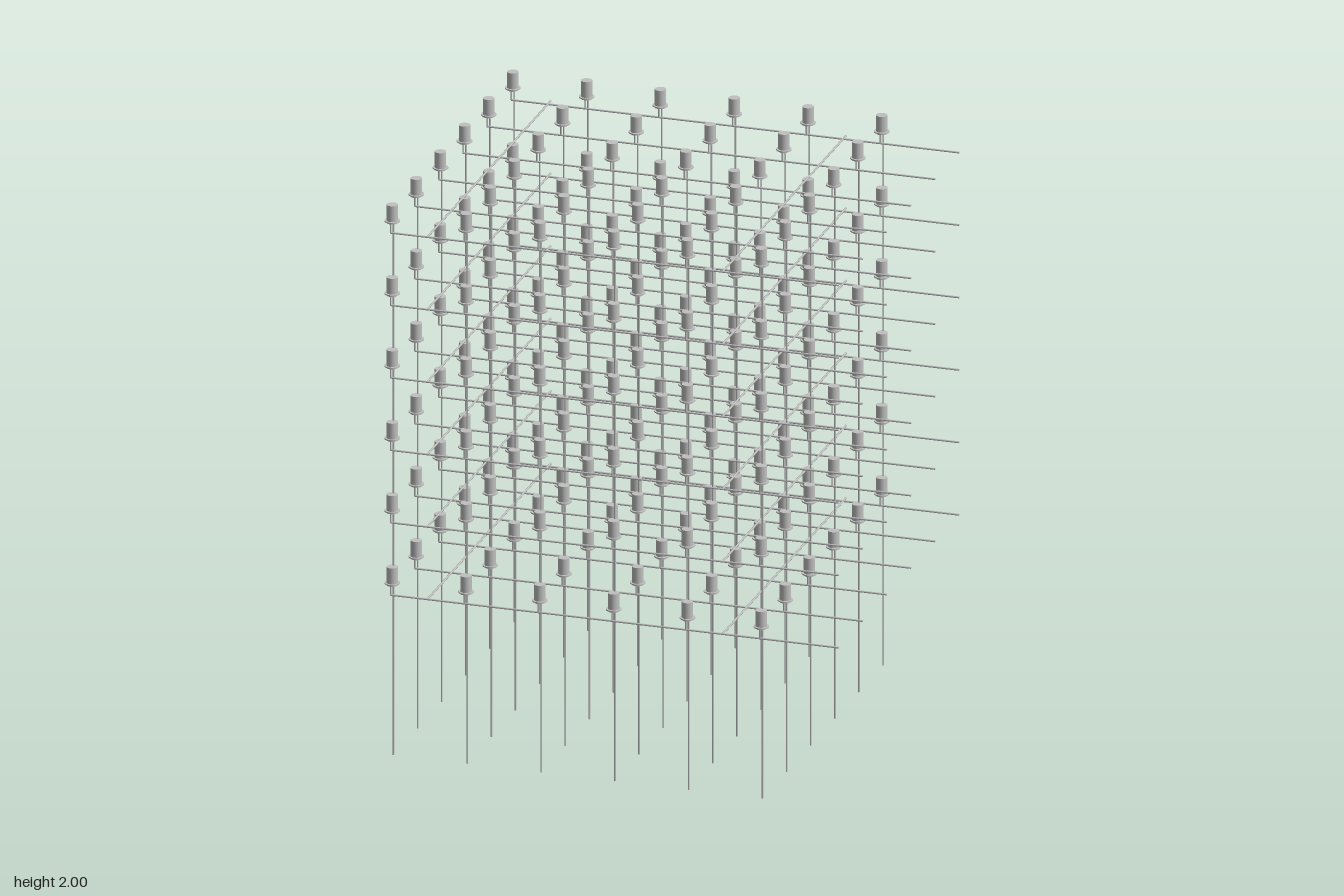
import * as THREE from 'three';

const STEP = 0.2625; // lattice spacing in all three directions
const N = 6;
const BAR = 0.0036;  // radius of horizontal bars
const POLE = 0.0031; // radius of poles and stubs

export function createModel() {
  const model = new THREE.Group();
  const silver = new THREE.MeshStandardMaterial({ color: 0xc0c0c0 });
  silver.name = 'silver';

  const add = (name, geometry, x, y, z, parent = model) => {
    const mesh = new THREE.Mesh(geometry, silver);
    mesh.name = name;
    mesh.position.set(x, y, z);
    parent.add(mesh);
  };

  const xs = [], ys = [], zs = [];
  for (let i = 0; i < N; i++) {
    xs.push(-0.785 + i * STEP);
    ys.push(0.5905 + i * STEP);
    zs.push((i - (N - 1) / 2) * STEP);
  }

  // Shared geometries
  const can = new THREE.CylinderGeometry(0.0195, 0.0195, 0.066, 24);
  const flange = new THREE.CylinderGeometry(0.0265, 0.0265, 0.004, 24);
  const stub = new THREE.CylinderGeometry(POLE, POLE, 0.038, 8);
  const pole = new THREE.CylinderGeometry(POLE, POLE, 1.94, 8);
  const rowBar = new THREE.CylinderGeometry(BAR, BAR, 1.594, 8).rotateZ(Math.PI / 2);
  const crossBar = new THREE.CylinderGeometry(BAR, BAR, 1.344, 8).rotateX(Math.PI / 2);

  // Upright poles, just behind the axis of each column of cans
  for (const x of xs) for (const z of zs) add('pole', pole, x, 0.97, z - 0.0145);

  for (const y of ys) {
    const level = new THREE.Group();
    level.name = 'level';
    model.add(level);

    // Two cross bars tie the rows together
    for (const x of [-0.655, 0.395]) add('crossBar', crossBar, x, y, 0, level);

    for (const z of zs) {
      // Row bar, just in front of the can axes
      add('rowBar', rowBar, 0.011, y, z + 0.0155, level);

      // Cans standing on short stubs
      for (const x of xs) {
        add('stub', stub, x, y + 0.019, z + 0.0155, level);
        add('flange', flange, x, y + 0.038, z, level);
        add('can', can, x, y + 0.064, z, level);
      }
    }
  }
  return model;
}
